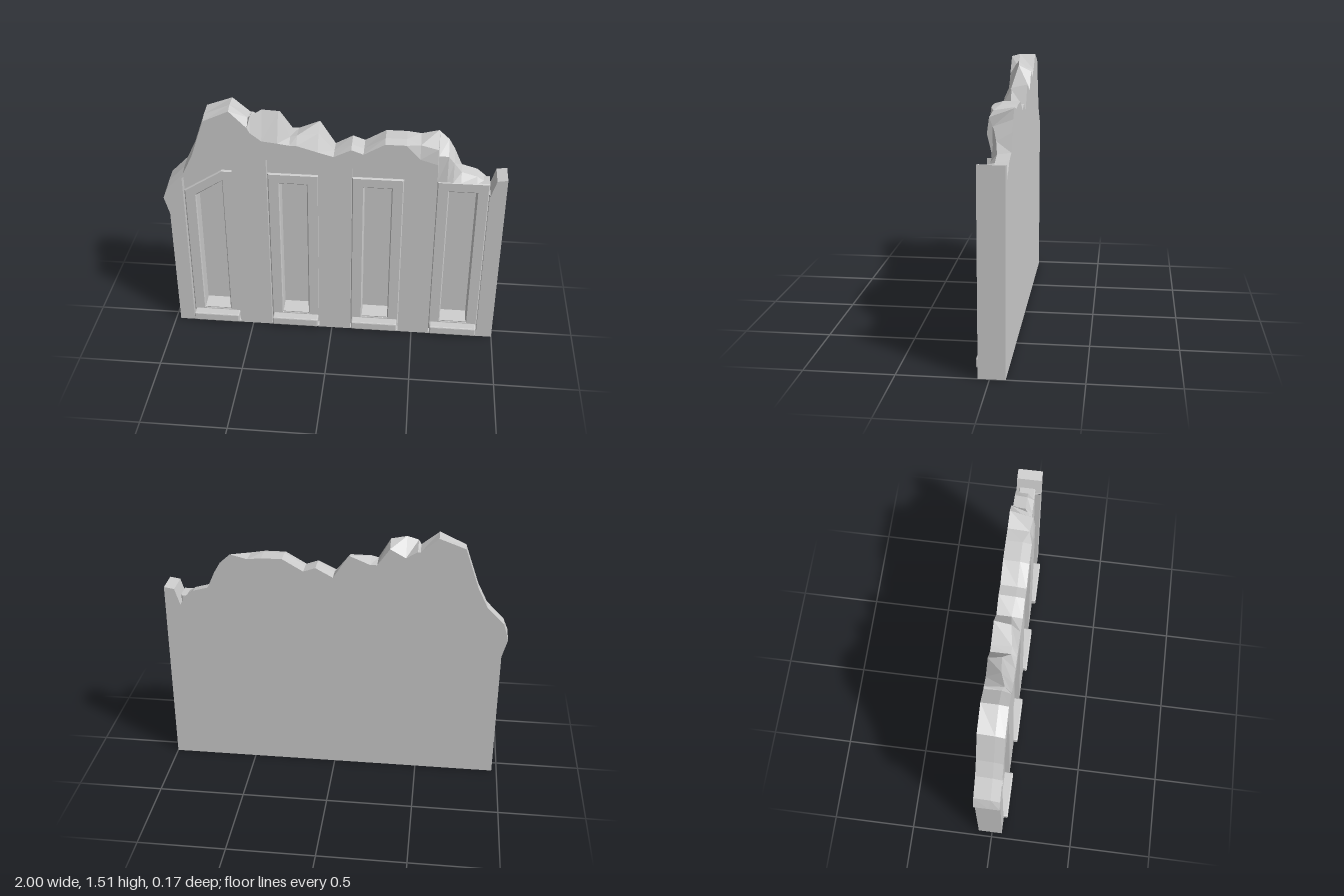
import * as THREE from 'three';
import { RoundedBoxGeometry } from 'three/addons/geometries/RoundedBoxGeometry.js';

const FRONT = 0.062, BACK = -0.085, FRAME = 0.03, LINTEL = 0.017, FLOOR = -0.068;
const mat = new THREE.MeshStandardMaterial({ color: 0xcccccc, flatShading: true });
const twoSided = new THREE.MeshStandardMaterial({ color: 0xcccccc, flatShading: true, side: THREE.DoubleSide });

const poly = (pts) => pts.map(([x, y]) => new THREE.Vector2(x, y));

function add(parent, name, geo, material = mat) {
  const mesh = new THREE.Mesh(geo, material);
  mesh.name = name;
  parent.add(mesh);
  return mesh;
}

// Triangles between neighbouring rows of points
function loft(rows, closed) {
  const pos = [];
  for (let i = 0; i < rows.length - (closed ? 0 : 1); i++) {
    const a = rows[i], b = rows[(i + 1) % rows.length];
    for (let k = 0; k < a.length - 1; k++) {
      pos.push(...a[k], ...b[k], ...b[k + 1], ...a[k], ...b[k + 1], ...a[k + 1]);
    }
  }
  const geo = new THREE.BufferGeometry();
  geo.setAttribute('position', new THREE.Float32BufferAttribute(pos, 3));
  geo.computeVertexNormals();
  return geo;
}

// Broken edge, left to right: x, front y, crest y, crest z, back y
const leftEdge = [
  [-0.97, 0, 0, 0, 0], [-0.97, 0.8, 0.8, 0, 0.8], [-1, 0.91, 0.91, 0, 0.91],
  [-0.97, 0.98, 1.0, 0.01, 1.01], [-0.87, 1.08, 1.1, 0.01, 1.11], [-0.81, 1.2, 1.22, 0.01, 1.23],
  [-0.73, 1.43, 1.45, 0.01, 1.46], [-0.58, 1.5, 1.515, 0.01, 1.515], [-0.48, 1.4, 1.44, 0.01, 1.43],
  [-0.465, 1.37, 1.46, 0.025, 1.43], [-0.4, 1.32, 1.49, 0, 1.39], [-0.31, 1.31, 1.475, -0.01, 1.44],
  [-0.24, 1.3, 1.34, 0.03, 1.34], [-0.2, 1.3, 1.35, 0.03, 1.34], [-0.08, 1.265, 1.36, 0.01, 1.39],
  [0.01, 1.24, 1.25, 0, 1.25], [0.11, 1.29, 1.3, 0.01, 1.305], [0.18, 1.265, 1.275, 0.01, 1.28],
  [0.3, 1.335, 1.35, 0.01, 1.35], [0.42, 1.335, 1.35, 0.01, 1.35], [0.5, 1.25, 1.33, 0.04, 1.34],
  [0.6, 1.22, 1.31, 0.05, 1.365],
];
// Stretch above the right-hand niche, where the face has fallen away
const brokenEdge = [
  [0.605, 1.09, 1.26, 0.03, 1.36], [0.66, 1.09, 1.25, 0.015, 1.31], [0.695, 1.09, 1.2, 0, 1.25],
  [0.74, 1.09, 1.14, -0.01, 1.15], [0.83, 1.09, 1.115, -0.01, 1.125], [0.885, 1.07, 1.08, -0.01, 1.08],
  [0.9, 1.03, 1.05, -0.01, 1.05],
];
const rightEdge = [
  [0.91, 1.03, 1.03, 0, 1.03], [0.94, 1.13, 1.13, 0, 1.13], [1, 1.14, 1.14, 0, 1.14], [1, 0, 0, 0, 0],
];

// Niches: left side x, recess outline, frame outline, opening outline
const rect = (x0, x1, y0, yl, yr = yl) => [[x0, y0], [x1, y0], [x1, yr], [x0, yl]];
const niches = [
  {
    x: -0.88,
    recess: [[-0.88, 0.01], [-0.58, 0.01], [-0.58, 1.3], [-0.71, 1.24], [-0.83, 1.09], [-0.88, 1.05]],
    frame: [[-0.88, 0.01], [-0.58, 0.01], [-0.58, 1.095], [-0.65, 1.095], [-0.88, 0.95]],
    opening: rect(-0.81, -0.65, 0.08, 0.92, 1.025),
  },
  ...[[-0.38, 1.2, 1.18], [0.115, 1.17, 1.2], [0.605, 0, 0]].map(([x, yl, yr]) => ({
    x,
    recess: yl ? rect(x, x + 0.3, 0.01, yl, yr) : null,
    frame: rect(x, x + 0.3, 0.01, 1.09),
    opening: rect(x + 0.07, x + 0.23, 0.08, 1.025),
  })),
];

function buildWall(group) {
  const rowsOf = (edge, zf) => edge.map(([x, yf, yc, zc, yb]) => [[x, yf, zf], [x, yc, zc], [x, yb, BACK]]);
  const rows = [...rowsOf(leftEdge, FRONT), ...rowsOf(brokenEdge, FRAME), ...rowsOf(rightEdge, FRONT)];
  add(group, 'brokenWallEdge', loft(rows, true));

  // Front face, open at the niches
  const notch = [[0.605, 1.09], [0.605, 0.01], [0.905, 0.01], [0.905, 1.03]];
  const face = new THREE.Shape(poly([...leftEdge, ...notch, ...rightEdge]));
  niches.forEach((n) => n.recess && face.holes.push(new THREE.Path(poly(n.recess))));
  add(group, 'wallFront', new THREE.ShapeGeometry(face).translate(0, 0, FRONT));

  // Back face
  const back = [...leftEdge, ...brokenEdge, ...rightEdge].map((p) => [-p[0], p[4]]);
  add(group, 'wallBack', new THREE.ShapeGeometry(new THREE.Shape(poly(back))).rotateY(Math.PI).translate(0, 0, BACK));

  // Sides of the open niche
  const sides = [notch[0], notch[1], notch[2], notch[3]].map(([x, y]) => [[x, y, FRONT], [x, y, LINTEL]]);
  add(group, 'openNicheSides', loft(sides, false), twoSided);
}

function buildNiche(n) {
  const niche = new THREE.Group();
  niche.name = 'niche';

  // Recess in the wall face, with a panel above the frame
  if (n.recess) {
    add(niche, 'recessSides', loft(n.recess.map(([x, y]) => [[x, y, FRONT], [x, y, LINTEL]]), true), twoSided);
    const panel = new THREE.Shape(poly(n.recess));
    panel.holes.push(new THREE.Path(poly(n.opening)));
    add(niche, 'lintelPanel', new THREE.ShapeGeometry(panel).translate(0, 0, LINTEL));
  }

  // Bevelled frame around a deep opening
  const bevel = 0.006;
  const frame = new THREE.Shape(poly(n.frame));
  frame.holes.push(new THREE.Path(poly(n.opening)));
  add(niche, 'frame', new THREE.ExtrudeGeometry(frame, {
    depth: FRAME - FLOOR - 2 * bevel, bevelSize: bevel, bevelOffset: -bevel, bevelThickness: bevel, bevelSegments: 1,
  }).translate(0, 0, FLOOR + bevel));
  add(niche, 'openingBack', new THREE.ShapeGeometry(new THREE.Shape(poly(n.frame))).translate(0, 0, FLOOR + 0.004));

  // Sloping ledge in the opening and the projecting sill
  const ledge = add(niche, 'slopingLedge', new THREE.BoxGeometry(0.16, 0.02, 0.095));
  ledge.position.set(n.x + 0.15, 0.08, -0.02);
  ledge.rotation.x = 0.15;
  const sill = add(niche, 'sill', new RoundedBoxGeometry(0.285, 0.055, 0.06, 1, 0.007));
  sill.position.set(n.x + 0.15, 0.0425, 0.057);
  return niche;
}

export function createModel() {
  const model = new THREE.Group();
  model.name = 'ruinedWall';
  buildWall(model);
  niches.forEach((n) => model.add(buildNiche(n)));
  return model;
}
